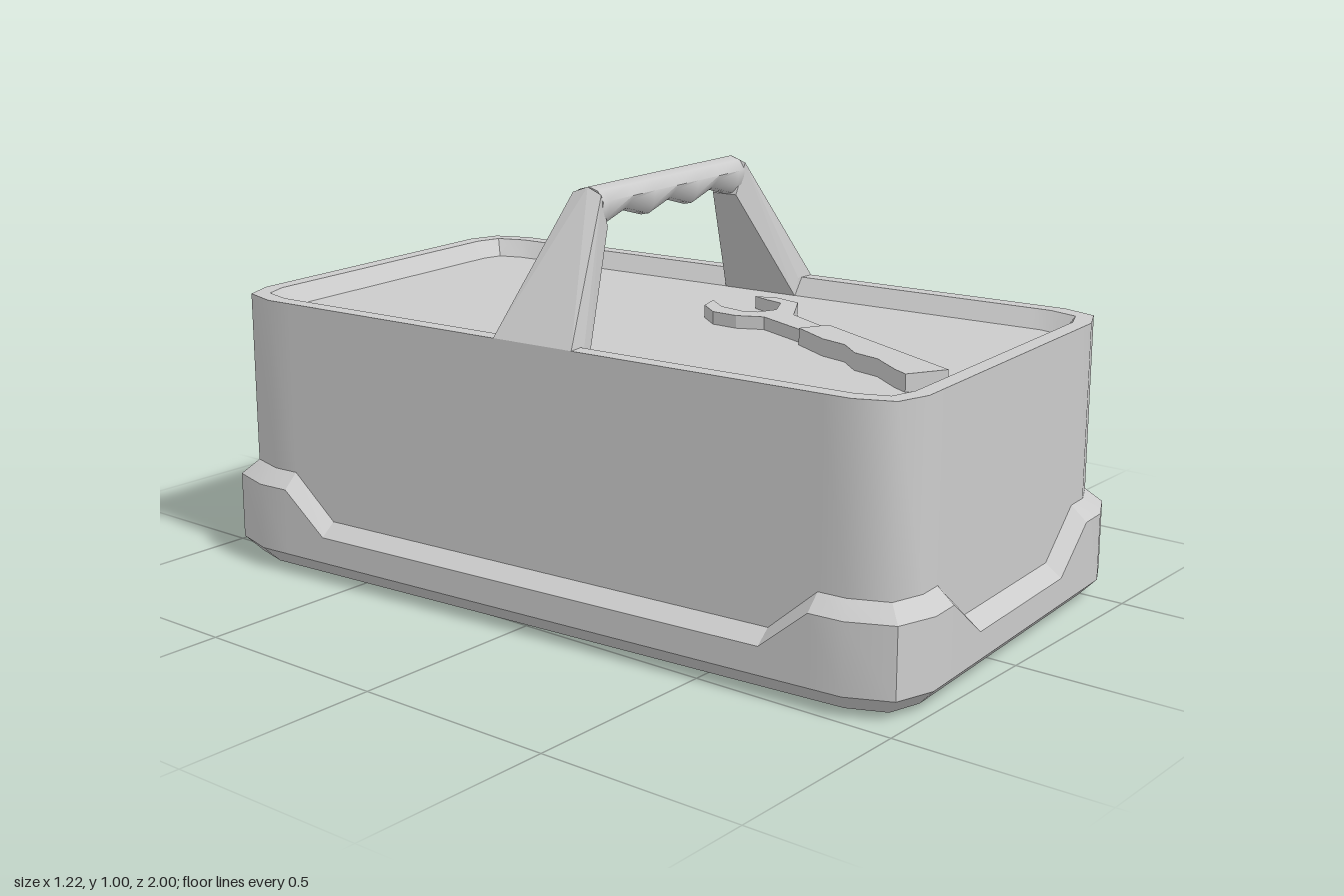
import * as THREE from 'three';
import { toCreasedNormals } from 'three/addons/utils/BufferGeometryUtils.js';
import { ConvexGeometry } from 'three/addons/geometries/ConvexGeometry.js';

const grey = new THREE.MeshStandardMaterial({ color: 0xcccccc });
const V = (x, y, z) => new THREE.Vector3(x, y, z);

// Skins a series of closed rings; caps are fans around each end ring's centre.
function loft(rings, crease, capStart, capEnd) {
  const pos = [];
  const tri = (...pts) => pts.forEach((p) => pos.push(p.x, p.y, p.z));
  const n = rings[0].length;
  const centre = (ring) => ring.reduce((s, p) => s.add(p), V(0, 0, 0)).divideScalar(n);
  const first = rings[0], last = rings[rings.length - 1];
  for (let i = 0; i < n; i++) {
    const k = (i + 1) % n;
    for (let j = 0; j < rings.length - 1; j++) {
      const a = rings[j], b = rings[j + 1];
      tri(a[i], a[k], b[i]);
      tri(a[k], b[k], b[i]);
    }
    if (capStart) tri(centre(first), first[k], first[i]);
    if (capEnd) tri(centre(last), last[i], last[k]);
  }
  const geo = new THREE.BufferGeometry();
  geo.setAttribute('position', new THREE.Float32BufferAttribute(pos, 3));
  return toCreasedNormals(geo, crease);
}

// Chamfered rectangle inset by d (dMid between the corners),
// at height yCorner around the corners and yMid in between.
function outline(d, yCorner, yMid = yCorner, dMid = d) {
  const quarter = [
    V(0.55 - dMid, yMid, 0.625),
    V(0.55 - d, yCorner, 0.745),
    V(0.55 - d, yCorner, 0.83 - 0.4 * d),
    V(0.51 - 0.8 * d, yCorner, 0.935 - 0.8 * d),
    V(0.415 - 0.4 * d, yCorner, 0.972 - d),
    V(0.335, yCorner, 0.972 - d),
    V(0.205, yMid, 0.972 - dMid),
  ];
  const ring = [];
  for (const [sx, sz] of [[1, 1], [-1, 1], [-1, -1], [1, -1]]) {
    const q = quarter.map((p) => V(p.x * sx, p.y, p.z * sz));
    ring.push(...(sx * sz < 0 ? q.reverse() : q));
  }
  return ring;
}

// Flat plate from a top outline of [x, z] points
function plate(points, y, height) {
  const shape = new THREE.Shape(points.map(([x, z]) => new THREE.Vector2(x, -z)));
  const geo = new THREE.ExtrudeGeometry(shape, { depth: height, bevelEnabled: false });
  return geo.rotateX(-Math.PI / 2).translate(0, y, 0);
}

export function createModel() {
  const model = new THREE.Group();
  model.name = 'toolbox';
  const box = new THREE.Group();
  box.name = 'box';
  box.rotation.y = 0.0747;
  model.add(box);
  const add = (parent, name, geo) => {
    const mesh = new THREE.Mesh(geo, grey);
    mesh.name = name;
    parent.add(mesh);
    return mesh;
  };

  // Recessed lid, rim and outer walls
  add(box, 'recessedLid', loft([outline(0.11, 0.632), outline(0.08, 0.675)], 0.5, true));
  add(box, 'walls', loft([
    outline(0.08, 0.675), outline(0.04, 0.675), outline(0.04, 0.25, 0.145),
  ], 0.95));

  // Base band, raised at the corners, with its bottom lip
  add(box, 'baseBand', loft([
    outline(0.04, 0.25, 0.145), outline(0, 0.215, 0.115), outline(0, 0.05),
    outline(0.04, 0.008), outline(0.06, 0.006, 0, 0.095), outline(0.06, 0.06),
  ], 0.5));

  // Hollow inside, open at the bottom
  add(box, 'interior', loft([outline(0.06, 0.06), outline(0.06, 0.622)], 0.95, false, true));

  // Handle bar with finger grips on its underside
  const bar = [-0.295, -0.27, -0.18, -0.09, 0, 0.09, 0.18, 0.27, 0.295].map((x, i) => {
    const b = i === 0 || i % 2 === 1 || i === 8 ? 0.907 : 0.932;
    const half = [[0.027, 0.992], [0.042, 0.968], [0.038, b + 0.025], [0.022, b + 0.005]];
    return [
      V(x, 1, 0), ...half.map(([z, y]) => V(x, y, z)),
      V(x, b, 0), ...half.map(([z, y]) => V(x, y, -z)).reverse(),
    ];
  });
  add(box, 'handleBar', loft(bar, 0.9, true, true));

  // Handle legs, widening towards the rim
  for (const s of [-1, 1]) {
    const pts = [V(s * 0.298, 1, 0)];
    for (const [x, y, z] of [
      [0.3, 0.985, 0.04], [0.51, 0.675, 0.11], [0.5, 0.63, 0.11],
      [0.268, 0.908, 0.034], [0.455, 0.675, 0.105], [0.44, 0.63, 0.105],
    ]) pts.push(V(s * x, y, z), V(s * x, y, -z));
    add(box, s > 0 ? 'leftHandleLeg' : 'rightHandleLeg', new ConvexGeometry(pts));
  }

  // Wrench lying on the lid: wavy grip, then shaft and open jaw
  const wrench = new THREE.Group();
  wrench.name = 'wrench';
  model.add(wrench);
  add(wrench, 'wrenchGrip', plate([
    [-0.2, 0.82], [-0.11, 0.87], [0.08, 0.43], [0.01, 0.395], [-0.045, 0.5],
    [-0.06, 0.57], [-0.11, 0.63], [-0.125, 0.7], [-0.18, 0.78],
  ], 0.628, 0.044));
  add(wrench, 'wrenchHead', plate([
    [0.02, 0.41], [0.085, 0.24], [0.055, 0.18], [0.055, 0.11], [0.1, 0.05],
    [0.16, 0.03], [0.115, 0.09], [0.105, 0.16], [0.12, 0.195], [0.17, 0.215],
    [0.235, 0.18], [0.245, 0.13], [0.26, 0.085], [0.28, 0.14], [0.265, 0.21],
    [0.2, 0.25], [0.15, 0.28], [0.075, 0.44],
  ], 0.628, 0.035));

  return model;
}
